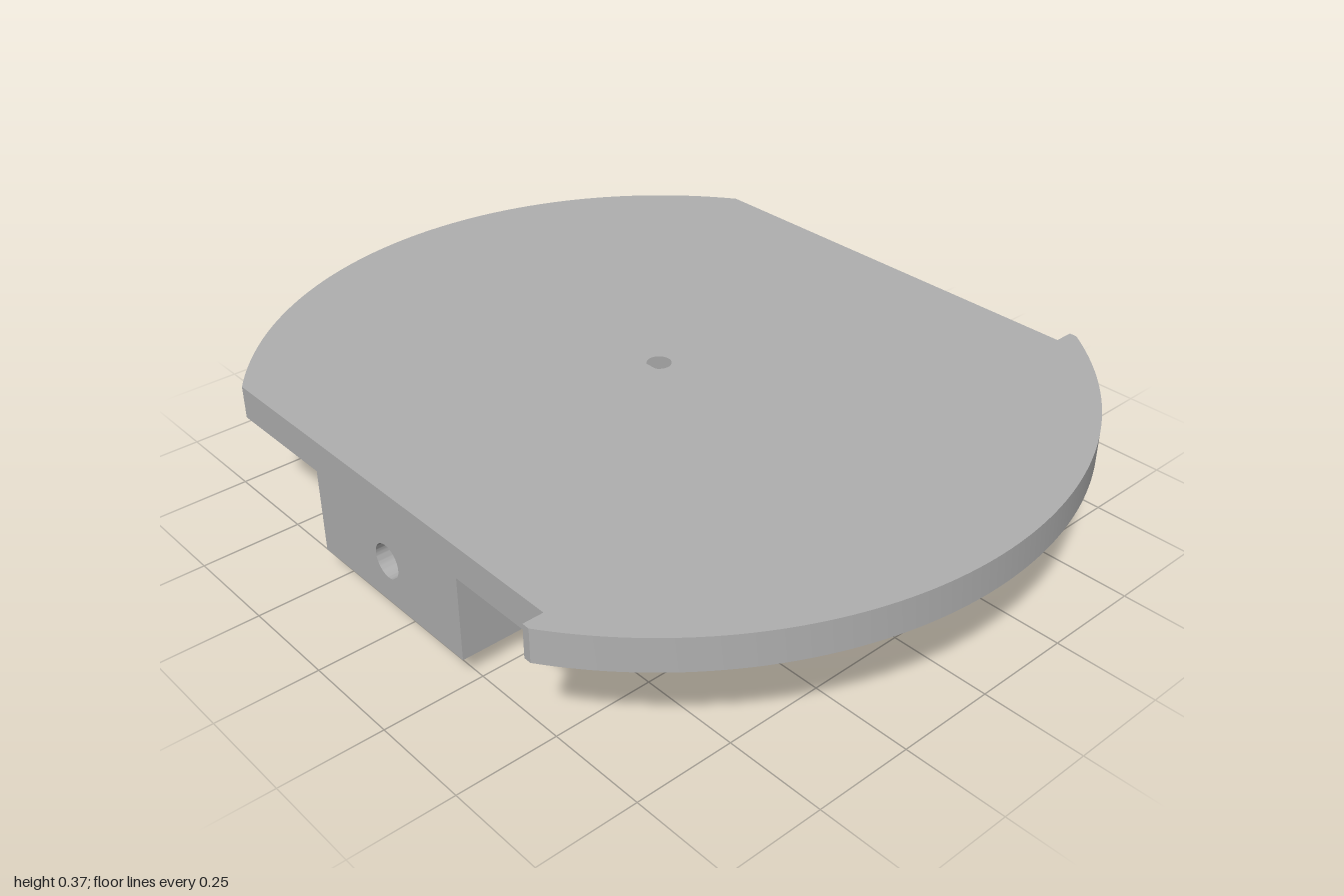
import * as THREE from 'three';
import { toCreasedNormals } from 'three/addons/utils/BufferGeometryUtils.js';

const ZC = -0.027;                       // z of the hole axes and arc centres
const BACK = -0.29, FRONT = 0.24;        // block extent in z
const STEP = 0.06, UNDER = 0.282, TOP = 0.365;
const BORE_Y = 0.17, BORE_R = 0.043, PIN_R = 0.03;

export function createModel() {
  const group = new THREE.Group();
  const grey = new THREE.MeshStandardMaterial({ color: 0xb0b0b0 });
  grey.name = 'grey';

  const extrude = (shape, depth) => new THREE.ExtrudeGeometry(shape, { depth, bevelEnabled: false, curveSegments: 40 });
  const add = (name, geometry, parent = group) => {
    const mesh = new THREE.Mesh(toCreasedNormals(geometry, 0.5), grey);
    mesh.name = name;
    parent.add(mesh);
  };
  const rect = (x0, y0, x1, y1) => new THREE.Shape([[x0, y0], [x1, y0], [x1, y1], [x0, y1]].map(p => new THREE.Vector2(...p)));
  const punch = (shape, x, y, r) => {
    shape.holes.push(new THREE.Path().absarc(x, y, r, 0, Math.PI * 2, true));
    return shape;
  };
  // Shape (x, -z) raised from y0 to y1
  const upright = (shape, y0, y1) => extrude(shape, y1 - y0).rotateX(-Math.PI / 2).translate(0, y0, 0);
  // Shape (-z, y) swept from x0 to x1
  const across = (shape, x0, x1) => extrude(shape, x1 - x0).rotateY(Math.PI / 2).translate(x0, 0, 0);
  // Block section with the lengthwise bore
  const bored = (x0, x1, y0) => across(punch(rect(-FRONT, y0, -BACK, UNDER), -ZC, BORE_Y, BORE_R), x0, x1);
  const box = (x0, x1, y0, y1, z0, z1) =>
    new THREE.BoxGeometry(x1 - x0, y1 - y0, z1 - z0).translate((x0 + x1) / 2, (y0 + y1) / 2, (z0 + z1) / 2);

  // Round plate with straight sides, front lips and a pin hole
  const side = 0.795, lip = 0.845, rBack = 0.973, rFront = 1.027;
  const aF = Math.acos(lip / rFront), aB = Math.acos(side / rBack);
  const outline = new THREE.Shape();
  outline.moveTo(side, -0.538);
  outline.lineTo(lip, -0.538);
  outline.absarc(0, -ZC, rFront, -aF, -Math.PI + aF, true);
  outline.lineTo(-lip, -0.538);
  outline.lineTo(-side, -0.538);
  outline.absarc(0, -ZC, rBack, Math.PI - aB, aB, true);
  outline.closePath();
  add('plate', upright(punch(outline, 0, -ZC, PIN_R), UNDER, TOP));

  // Block with the rectangular pocket
  const pocketBlock = new THREE.Group();
  pocketBlock.name = 'pocketBlock';
  group.add(pocketBlock);
  add('pocketBlockArm', bored(0.485, 0.79, STEP), pocketBlock);
  add('pocketOuterWall', bored(0.38, 0.485, 0), pocketBlock);
  add('pocketInnerWall', bored(0.18, 0.255, 0), pocketBlock);
  add('pocketFrontWall', box(0.255, 0.38, 0, UNDER, 0.17, FRONT), pocketBlock);
  add('pocketBackWall', box(0.255, 0.38, 0, UNDER, BACK, -0.205), pocketBlock);

  // Block with the pin hole crossing the bore
  const pinBlock = new THREE.Group();
  pinBlock.name = 'pinBlock';
  group.add(pinBlock);
  const x0 = -0.125, x1 = 0.07;
  add('pinBlockArm', bored(-0.79, x0, STEP), pinBlock);
  const h = Math.sqrt(BORE_R ** 2 - PIN_R ** 2), a = Math.asin(h / BORE_R);
  const slab = () => punch(rect(x0, -FRONT, x1, -BACK), 0, -ZC, PIN_R);
  add('pinBlockLower', upright(slab(), 0, BORE_Y - h), pinBlock);
  add('pinBlockUpper', upright(slab(), BORE_Y + h, UNDER), pinBlock);
  // Bore cheeks on either side of the crossing
  for (const [name, edge, mid] of [['boreBackCheek', -BACK, 0], ['boreFrontCheek', -FRONT, Math.PI]]) {
    const cheek = new THREE.Shape();
    const s = mid ? -1 : 1;
    cheek.moveTo(edge, BORE_Y - s * h);
    cheek.lineTo(edge, BORE_Y + s * h);
    cheek.absarc(-ZC, BORE_Y, BORE_R, mid + a, mid - a, true);
    cheek.closePath();
    add(name, across(cheek, x0, x1), pinBlock);
  }
  return group;
}
